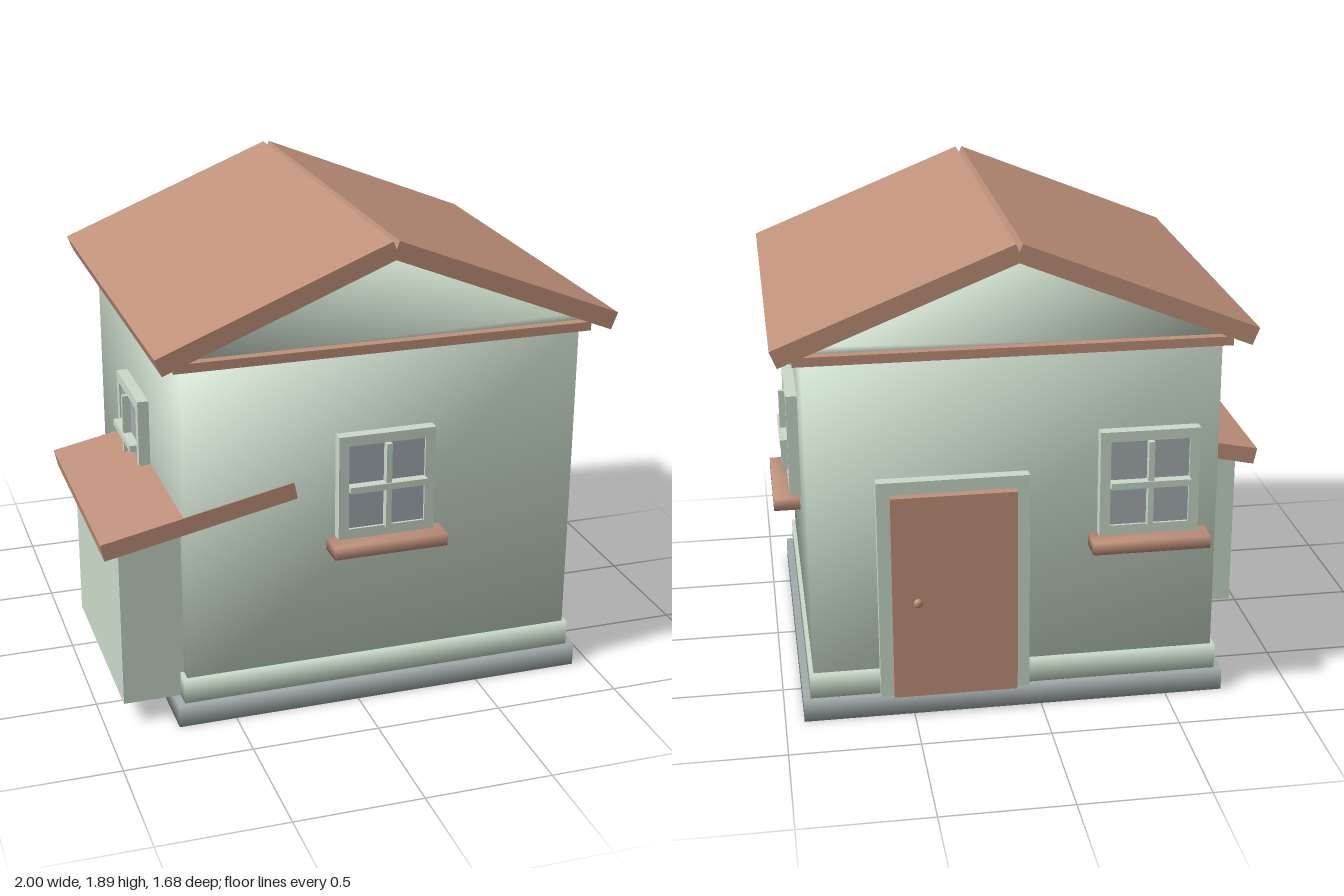
import * as THREE from 'three';
import { mergeVertices } from 'three/addons/utils/BufferGeometryUtils.js';

const CX = 0.1;            // house centre in x
const HX = 0.785, HZ = 0.732; // half sizes of the walls

function material(name, color) {
  const m = new THREE.MeshStandardMaterial({ color });
  m.name = name;
  return m;
}

// Share corners so that normals run smoothly round the solid
function smooth(geo) {
  geo.deleteAttribute('normal');
  geo.deleteAttribute('uv');
  const merged = mergeVertices(geo);
  merged.computeVertexNormals();
  return merged;
}

function add(parent, name, geo, mat, x = 0, y = 0, z = 0, rz = 0) {
  const mesh = new THREE.Mesh(geo, mat);
  mesh.name = name;
  mesh.position.set(x, y, z);
  mesh.rotation.z = rz;
  parent.add(mesh);
  return mesh;
}

const box = (w, h, d) => new THREE.BoxGeometry(w, h, d);

function prism(points, depth) {
  const shape = new THREE.Shape(points.map(([x, y]) => new THREE.Vector2(x, y)));
  return new THREE.ExtrudeGeometry(shape, { depth, bevelEnabled: false });
}

// Rectangular frame with an opening, standing on y = 0
function frame(w, h, side, bottom, depth) {
  const shape = new THREE.Shape();
  shape.moveTo(-w / 2, 0).lineTo(w / 2, 0).lineTo(w / 2, h).lineTo(-w / 2, h).closePath();
  const hole = new THREE.Path();
  const a = w / 2 - side, t = h - side;
  hole.moveTo(-a, bottom).lineTo(-a, t).lineTo(a, t).lineTo(a, bottom).closePath();
  shape.holes.push(hole);
  return new THREE.ExtrudeGeometry(shape, { depth, bevelEnabled: false });
}

export function createModel() {
  const green = material('pale green plaster', 0xc9dac9);
  const clay = material('clay brown', 0xbf917a);
  const stone = material('grey stone', 0xa0aaab);
  const glass = material('window glass', 0xa5adb2);
  const house = new THREE.Group();
  house.name = 'house';

  // Foundation, skirting, walls and cornice
  add(house, 'foundation', smooth(box(1.655, 0.09, 1.53)), stone, CX, 0.045);
  add(house, 'skirting', smooth(box(1.6, 0.1, 1.495)), green, CX, 0.14);
  add(house, 'walls', smooth(box(HX * 2, 1.38, HZ * 2)), green, CX, 0.77);
  add(house, 'cornice', box(1.635, 0.035, 1.54), clay, CX, 1.465);

  // Gable ends under the roof
  add(house, 'gable', smooth(prism(
    [[-HX, 1.47], [HX, 1.47], [HX, 1.51], [0, 1.825], [-HX, 1.51]], HZ * 2)), green, CX, 0, -HZ);

  // Main roof
  for (const s of [-1, 1]) {
    add(house, 'roofSlope', box(0.954, 0.07, 1.655), clay, CX + s * 0.442, 1.675, 0, -s * 0.382);
  }

  // Lean-to with its own sloping roof
  add(house, 'leanTo', prism(
    [[-0.925, 0.09], [-0.65, 0.09], [-0.65, 0.83], [-0.925, 0.775]], 0.84), green, 0, 0, -0.16);
  add(house, 'leanToRoof', box(0.761, 0.068, 0.952), clay, -0.622, 0.844, 0.262, 0.205);

  // Windows, each built facing +z with the wall at z = 0
  const spots = [
    [CX, HZ, 0],
    [CX + HX, 0, Math.PI / 2],
    [CX - HX, 0, -Math.PI / 2],
    [-0.411, -HZ, Math.PI],
  ];
  for (const [x, z, turn] of spots) {
    const win = new THREE.Group();
    win.name = 'window';
    win.position.set(x, 0, z);
    win.rotation.y = turn;
    add(win, 'windowFrame', frame(0.385, 0.42, 0.04, 0.04, 0.048), green, 0, 0.71, -0.003);
    add(win, 'windowPane', box(0.31, 0.345, 0.009), glass, 0, 0.92, 0.03);
    add(win, 'verticalBar', box(0.022, 0.342, 0.035), green, 0, 0.92, 0.05);
    add(win, 'horizontalBar', box(0.308, 0.026, 0.04), green, 0, 0.92, 0.053);
    add(win, 'windowSill', smooth(box(0.455, 0.05, 0.105)), clay, 0, 0.685, 0.058);
    house.add(win);
  }

  // Back door
  const door = new THREE.Group();
  door.name = 'door';
  door.position.set(0.34, 0, -HZ);
  door.rotation.y = Math.PI;
  add(door, 'doorFrame', frame(0.58, 0.89, 0.05, 0.01, 0.048), green, 0, 0.09, -0.002);
  add(door, 'doorLeaf', box(0.48, 0.83, 0.06), clay, 0, 0.51, 0.04);
  add(door, 'doorKnobStem', new THREE.CylinderGeometry(0.008, 0.008, 0.03, 12).rotateX(Math.PI / 2),
    clay, -0.143, 0.5, 0.08);
  add(door, 'doorKnob', new THREE.SphereGeometry(0.018, 16, 12).scale(1, 1, 0.7), clay, -0.143, 0.5, 0.088);
  house.add(door);

  return house;
}
